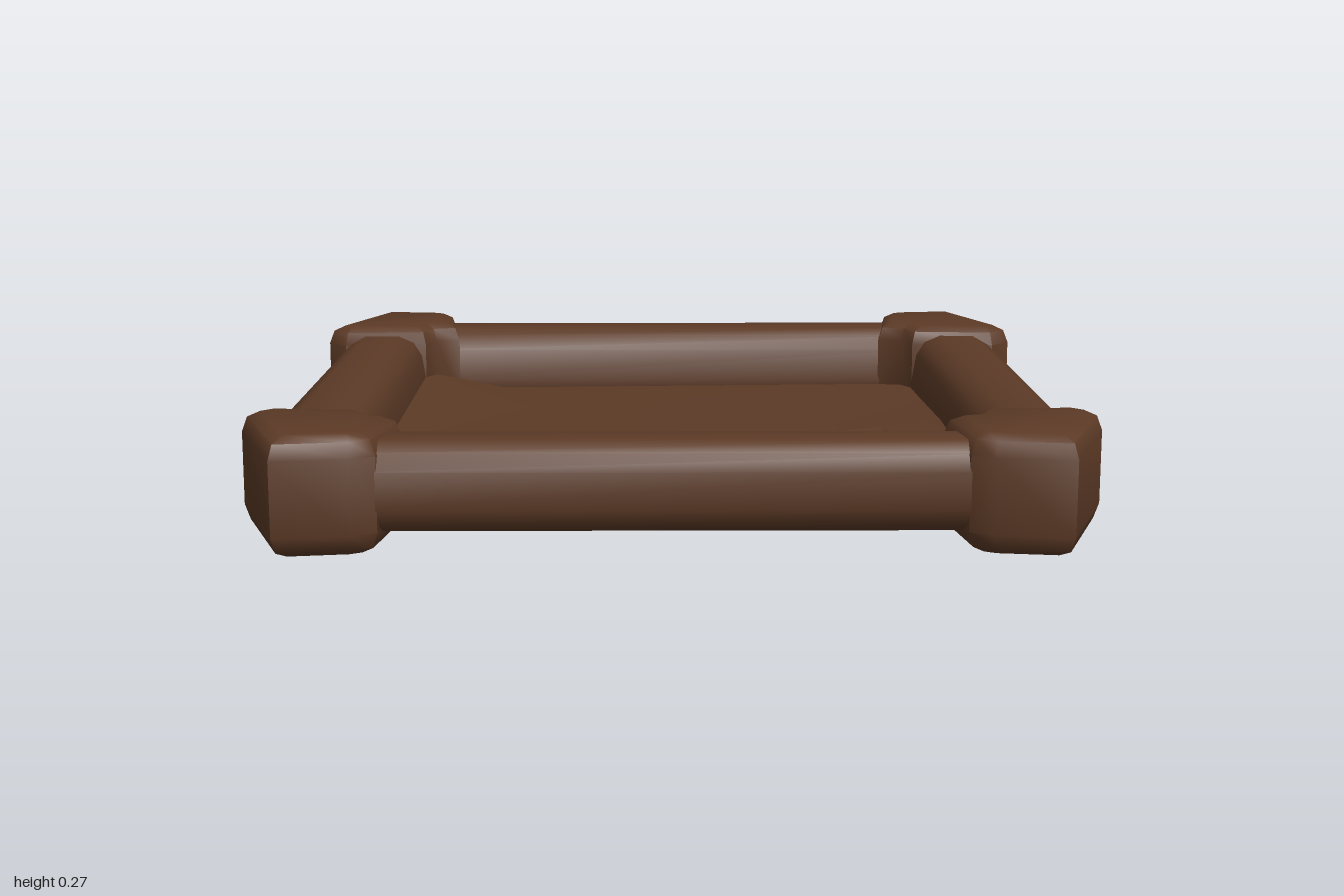
import * as THREE from 'three';
import { toCreasedNormals } from 'three/addons/utils/BufferGeometryUtils.js';

const wood = new THREE.MeshStandardMaterial({ color: 0x5c3a26 });
wood.name = 'darkWood';

function add(group, name, geometry, y = 0) {
  const mesh = new THREE.Mesh(geometry, wood);
  mesh.name = name;
  mesh.position.y = y;
  group.add(mesh);
  return mesh;
}

const toShape = (points) => new THREE.Shape(points.map(([x, y]) => new THREE.Vector2(x, y)));

// Rail: worn, rounded section (distance from centre, height) with a leaning inner face
const railSection = [
  [0.89, 0.042], [0.925, 0.06], [0.942, 0.1], [0.942, 0.185], [0.925, 0.225], [0.885, 0.247],
  [0.79, 0.247], [0.745, 0.228], [0.722, 0.19], [0.708, 0.1], [0.71, 0.06], [0.74, 0.042],
];
function railGeometry() {
  const g = new THREE.ExtrudeGeometry(toShape(railSection), { depth: 1.5, bevelEnabled: false });
  g.translate(0, 0, -0.75);
  return toCreasedNormals(g, 1);
}

// Corner block: slanted outer face, L-shaped inside, chamfered top and bottom
const cornerPlan = [
  [0.995, 0.66], [0.94, 0.6], [0.71, 0.62], [0.685, 0.685],
  [0.62, 0.71], [0.65, 0.94], [0.7, 0.97], [0.875, 0.995],
];
function cornerGeometry(sx, sz) {
  const g = new THREE.ExtrudeGeometry(toShape(cornerPlan.map(([x, z]) => [x * sx, -z * sz])), {
    depth: 0.172, bevelThickness: 0.05, bevelSize: 0.04, bevelOffset: -0.04, bevelSegments: 2,
  });
  g.rotateX(-Math.PI / 2);
  return toCreasedNormals(g, 0.9);
}

// Uneven floor surface: a slanting ridge with a hollow in the front left corner
function floorGeometry() {
  const points = [
    [-0.73, 0.13, -0.73], [-0.5, 0.08, -0.73], [0.73, 0.09, -0.73], [-0.4, 0.08, -0.38],
    [0.55, 0.11, 0.05], [-0.3, 0.11, 0.52], [0.55, 0.056, 0.73], [0, 0.056, 0.73],
    [-0.73, 0.11, 0.73], [-0.73, 0.12, 0.3], [0.73, 0.12, 0.73], [0.73, 0.12, 0],
    [-0.2, 0.08, -0.39],
  ];
  const faces = [
    0, 9, 3, 0, 3, 1, 1, 3, 12, 1, 12, 2, 9, 5, 3, 3, 5, 12, 5, 4, 12, 12, 4, 2,
    4, 11, 2, 9, 8, 5, 8, 7, 5, 5, 7, 4, 7, 6, 4, 4, 6, 10, 4, 10, 11,
  ];
  const g = new THREE.BufferGeometry();
  g.setAttribute('position', new THREE.Float32BufferAttribute(points.flat(), 3));
  g.setIndex(faces);
  return toCreasedNormals(g, 0.1);
}

export function createModel() {
  const model = new THREE.Group();
  model.name = 'squareTray';

  // Four rails, turned around the centre
  const rail = railGeometry();
  ['leftRail', 'backRail', 'rightRail', 'frontRail'].forEach((name, i) => {
    add(model, name, rail).rotation.y = i * Math.PI / 2;
  });

  // Four corner blocks
  for (const sx of [-1, 1]) {
    for (const sz of [-1, 1]) {
      const name = (sz > 0 ? 'front' : 'back') + (sx > 0 ? 'Left' : 'Right') + 'Corner';
      add(model, name, cornerGeometry(sx, sz), 0.05);
    }
  }

  // Floor surface and flat underside
  add(model, 'floorSurface', floorGeometry());
  add(model, 'floorBase', new THREE.BoxGeometry(1.44, 0.008, 1.44), 0.05);
  return model;
}
